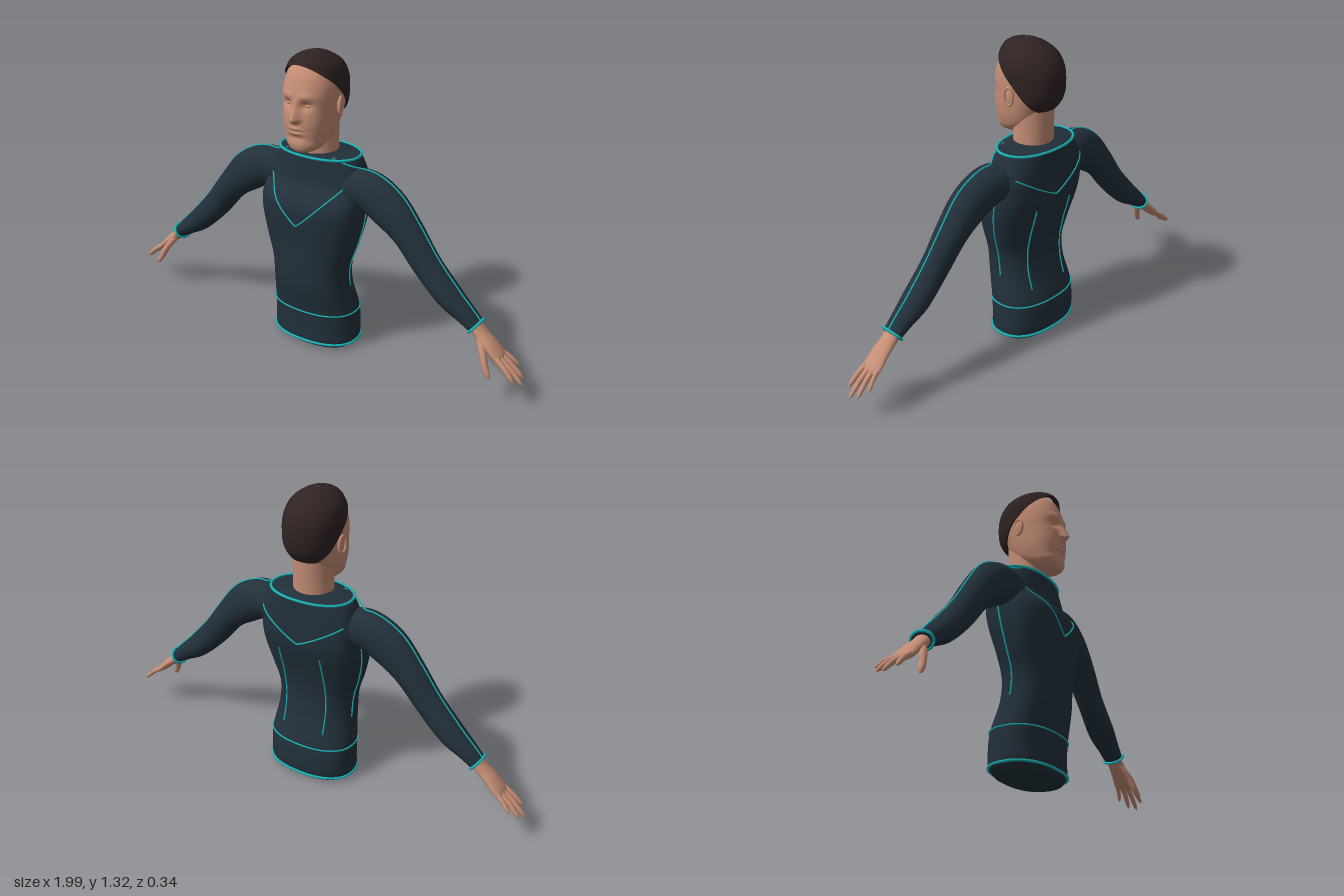
import * as THREE from 'three';

const V = (x, y, z) => new THREE.Vector3(x, y, z);
const mat = (name, color) => {
  const m = new THREE.MeshStandardMaterial({ color });
  m.name = name;
  return m;
};
const gauss = (d, s) => Math.exp(-(d * d) / (s * s));
const spow = (v, e) => Math.sign(v) * Math.pow(Math.abs(v), e);

// Smooth lookup in a table of cross-sections, keyed by the first column
function rowAt(rows, k) {
  let i = 0;
  while (i < rows.length - 2 && k > rows[i + 1][0]) i++;
  const slope = (j, c) => {
    const a = rows[Math.max(j - 1, 0)], b = rows[Math.min(j + 1, rows.length - 1)];
    return (b[c] - a[c]) / (b[0] - a[0]);
  };
  const p = rows[i], q = rows[i + 1], h = q[0] - p[0], t = (k - p[0]) / h;
  const t2 = t * t, t3 = t2 * t;
  return p.map((v, c) => c === 0 ? k :
    (2 * t3 - 3 * t2 + 1) * v + (t3 - 2 * t2 + t) * h * slope(i, c) +
    (3 * t2 - 2 * t3) * q[c] + (t3 - t2) * h * slope(i + 1, c));
}

// Skin a list of closed rings, with flat caps at both ends
function loft(rings, caps = true) {
  const n = rings[0].length;
  if (caps) {
    const flat = r => {
      const c = r.reduce((s, p) => s.add(p), V(0, 0, 0)).divideScalar(n);
      return r.map(() => c);
    };
    const a = rings[0], b = rings[rings.length - 1];
    rings = [flat(a), a, ...rings, b, flat(b)];
  }
  const pos = [], idx = [];
  rings.forEach(r => r.forEach(p => pos.push(p.x, p.y, p.z)));
  for (let i = 0; i < rings.length - 1; i++) for (let j = 0; j < n; j++) {
    const a = i * n + j, b = i * n + (j + 1) % n;
    idx.push(a, a + n, b, b, a + n, b + n);
  }
  const g = new THREE.BufferGeometry();
  g.setAttribute('position', new THREE.Float32BufferAttribute(pos, 3));
  g.setIndex(idx);
  g.computeVertexNormals();
  return g;
}

const steps = (a, b, n) => Array.from({ length: n + 1 }, (_, i) => a + (b - a) * i / n);
const angles = n => Array.from({ length: n }, (_, j) => j / n * Math.PI * 2);

// Point on an upright body whose rows are [y, half width, front z, back z, exponent]
function bodyPoint(rows, y, a, off = 0) {
  const [, w, f, b, e] = rowAt(rows, y);
  return V((w + off) * spow(Math.cos(a), e), y, (f + b) / 2 + ((f - b) / 2 + off) * spow(Math.sin(a), e));
}
const body = (rows, seg, n) =>
  steps(rows[0][0], rows[rows.length - 1][0], n).map(y => angles(seg).map(a => bodyPoint(rows, y, a)));

// Limb in the x-y plane whose rows are [x, y, thickness radius, z radius, z centre]
function limbPoint(rows, x, a, off = 0) {
  const [, y, rn, rz, cz] = rowAt(rows, x), d = 0.002;
  const lo = Math.max(x - d, rows[0][0]), hi = Math.min(x + d, rows[rows.length - 1][0]);
  const t = V(hi - lo, rowAt(rows, hi)[1] - rowAt(rows, lo)[1], 0).normalize();
  const c = Math.cos(a) * (rn + off);
  return V(x + t.y * c, y - t.x * c, cz + (rz + off) * Math.sin(a));
}
const limb = (rows, seg, n) =>
  loft(steps(rows[0][0], rows[rows.length - 1][0], n).map(x => angles(seg).map(a => limbPoint(rows, x, a))));

// Tapered finger with a rounded tip
function finger(points, r) {
  const curve = new THREE.CatmullRomCurve3(points);
  return loft(steps(0, 1, 14).map(t => {
    const p = curve.getPoint(t), T = curve.getTangent(t);
    const N = T.clone().cross(V(0, 0, 1)).normalize(), B = N.clone().cross(T);
    const s = r * (1 - 0.3 * t) * Math.sqrt(Math.max(0.02, 1 - Math.pow(t, 10)));
    return angles(10).map(a => p.clone().addScaledVector(N, s * Math.cos(a)).addScaledVector(B, s * Math.sin(a)));
  }));
}

const cord = (points, r = 0.004, closed = false) =>
  new THREE.TubeGeometry(new THREE.CatmullRomCurve3(points, closed), points.length * 3, r, 6, closed);

const TORSO = [
  [0, 0.178, 0.08, -0.14, 0.85], [0.025, 0.198, 0.1, -0.158, 0.85], [0.08, 0.2, 0.1, -0.163, 0.85],
  [0.17, 0.197, 0.105, -0.156, 0.85], [0.3, 0.18, 0.13, -0.118, 0.85], [0.4, 0.183, 0.135, -0.108, 0.85],
  [0.5, 0.212, 0.135, -0.12, 0.8], [0.6, 0.232, 0.142, -0.146, 0.75], [0.67, 0.235, 0.141, -0.162, 0.72],
  [0.71, 0.232, 0.122, -0.163, 0.7], [0.76, 0.226, 0.08, -0.161, 0.7], [0.82, 0.21, 0.07, -0.159, 0.75],
  [0.86, 0.195, 0.068, -0.158, 0.85], [0.88, 0.183, 0.068, -0.158, 0.9]];
const ARM = [
  [0.1, 0.785, 0.05, 0.06, -0.03], [0.18, 0.765, 0.075, 0.08, -0.025], [0.27, 0.755, 0.088, 0.077, -0.02],
  [0.36, 0.705, 0.088, 0.072, -0.016], [0.45, 0.622, 0.069, 0.066, -0.015], [0.54, 0.51, 0.062, 0.058, -0.013],
  [0.65, 0.398, 0.054, 0.06, -0.013], [0.72, 0.345, 0.042, 0.05, -0.013], [0.78, 0.298, 0.031, 0.043, -0.013]];
const PALM = [
  [0.765, 0.31, 0.026, 0.036, -0.013], [0.8, 0.276, 0.023, 0.037, -0.012], [0.84, 0.243, 0.021, 0.043, -0.011],
  [0.885, 0.2, 0.016, 0.047, -0.013], [0.9, 0.188, 0.008, 0.04, -0.014]];
const NECK = [[0.85, 0.088, 0.05, -0.115, 1], [0.95, 0.084, 0.05, -0.117, 1], [1.1, 0.085, 0.05, -0.125, 1]];
const HEAD = [
  [0.913, 0.035, 0.112, 0.04, 0.9], [0.922, 0.058, 0.124, 0, 0.9], [0.945, 0.08, 0.132, -0.03, 0.88],
  [0.97, 0.091, 0.132, -0.07, 0.86], [1, 0.1, 0.134, -0.09, 0.85], [1.04, 0.107, 0.138, -0.112, 0.85],
  [1.1, 0.113, 0.135, -0.142, 0.85], [1.15, 0.116, 0.134, -0.152, 0.85], [1.2, 0.113, 0.122, -0.146, 0.88],
  [1.25, 0.097, 0.1, -0.118, 0.95], [1.28, 0.07, 0.068, -0.085, 1], [1.298, 0.03, 0.03, -0.04, 1]];
const HAIR = [
  [1.02, 0.08, 0.1, -0.105, 0.9], [1.045, 0.098, 0.12, -0.135, 0.9], [1.09, 0.117, 0.13, -0.16, 0.9],
  [1.15, 0.122, 0.138, -0.167, 0.9], [1.21, 0.12, 0.13, -0.16, 0.92], [1.26, 0.105, 0.114, -0.132, 0.95],
  [1.285, 0.083, 0.102, -0.1, 1], [1.302, 0.055, 0.075, -0.066, 1], [1.311, 0.028, 0.04, -0.035, 1], [1.315, 0.004, 0.004, -0.004, 1]];
// Hairline height by direction, from back (-1) to front (1)
const HAIRLINE = [[-1, 1.04], [-0.8, 1.042], [-0.5, 1.075], [0.15, 1.183], [0.6, 1.235], [1, 1.275]];

export function createModel() {
  const suit = mat('dark suit', 0x22303a), trim = mat('teal trim', 0x18b4b8);
  const skin = mat('skin', 0xc48d75), hairMat = mat('dark hair', 0x2f2222);
  const model = new THREE.Group();
  const add = (name, geo, m, parent = model) => {
    const mesh = new THREE.Mesh(geo, m);
    mesh.name = name;
    parent.add(mesh);
    return mesh;
  };

  // Torso, closed at the top by a shallow rise to the neck
  const rings = body(TORSO, 64, 80);
  const rim = rings[rings.length - 1];
  rings.push(rim, angles(64).map(a => V(0.08 * Math.cos(a), 0.894, -0.034 + 0.078 * Math.sin(a))));
  add('torso', loft(rings), suit);

  // Trim around hem, waist and collar
  const band = (name, y, r) => add(name, cord(angles(48).map(a => bodyPoint(TORSO, y, a, 0.002)), r, true), trim);
  band('hemTrim', 0.025, 0.006);
  band('waistTrim', 0.17, 0.0035);
  band('collarTrim', 0.88, 0.006);

  // Chest and back seams lying on the torso
  const onTorso = (x, y, side) => {
    const [, w, , , e] = rowAt(TORSO, y);
    const a = Math.acos(spow(Math.max(-1, Math.min(1, x / w)), 1 / e));
    return bodyPoint(TORSO, y, side * a, 0.001);
  };
  const vee = (top, low, side) => cord(steps(-0.195, 0.195, 30).map(x =>
    onTorso(x, low + (top - low) * Math.pow(Math.abs(x) / 0.195, 1.15), side)), 0.0035);
  add('chestSeam', vee(0.79, 0.592, 1), trim);
  add('backSeam', vee(0.79, 0.68, -1), trim);

  // Head: face relief is pressed into a smooth skull
  add('neck', loft(body(NECK, 40, 12)), skin);
  const relief = p => {
    if (p.z < 0.02) return p;
    const { x, y } = p, ax = Math.abs(x);
    const rise = y > 1.06 ? Math.max(0, 1 - (y - 1.06) / 0.09) : Math.max(0, 1 - (1.06 - y) / 0.022);
    let dz = 0.036 * rise * gauss(x, 0.012 + 0.008 * rise);
    dz -= 0.016 * gauss(ax - 0.043, 0.024) * gauss(y - 1.118, 0.018);
    dz += 0.005 * gauss(ax - 0.04, 0.035) * gauss(y - 1.155, 0.014);
    dz += 0.007 * gauss(x, 0.028) * (gauss(y - 1.02, 0.008) + gauss(y - 1.0, 0.008));
    dz -= 0.004 * gauss(x, 0.03) * gauss(y - 1.01, 0.004);
    dz -= 0.006 * gauss(x, 0.04) * gauss(y - 0.98, 0.012);
    return V(x, y, p.z + dz);
  };
  add('head', loft(body(HEAD, 100, 90).map(r => r.map(relief))), skin);

  // Hair cap, cut along the hairline and tucked in below
  const hairRings = steps(0, 1, 28).map(t => angles(64).map(a => {
    const h = rowAt(HAIRLINE, Math.sin(a))[1];
    return bodyPoint(HAIR, h + (1.315 - h) * Math.sin(t * Math.PI / 2), a);
  }));
  const edge = hairRings[0];
  hairRings.unshift(edge.map(p => V(p.x * 0.8, p.y + 0.005, -0.02 + (p.z + 0.02) * 0.8)), edge);
  add('hair', loft(hairRings, false), hairMat);

  // Parts of one side, mirrored for the other
  for (const s of [1, -1]) {
    const side = new THREE.Group();
    side.name = s > 0 ? 'leftSide' : 'rightSide';
    side.scale.x = s;
    model.add(side);

    add('sleeve', limb(ARM, 32, 60), suit, side);
    add('cuffTrim', cord(angles(24).map(a => limbPoint(ARM, 0.775, a, 0.004)), 0.006, true), trim, side);
    const seam = [V(0.11, 0.885, 0.03), V(0.15, 0.872, 0.025), V(0.19, 0.86, 0.01)];
    steps(0.235, 0.775, 24).forEach(x => seam.push(limbPoint(ARM, x, Math.PI, 0.001)));
    add('sleeveSeam', cord(seam, 0.0035), trim, side);
    add('sideSeam', cord(steps(0.3, 0.68, 14).map(y => bodyPoint(TORSO, y, -0.1, 0.001)), 0.0035), trim, side);
    add('backPanelSeam', cord(steps(0.24, 0.63, 14).map(y => onTorso(0.1, y, -1)), 0.0035), trim, side);

    // Hand
    add('palm', limb(PALM, 24, 20), skin, side);
    const tips = [[0.97, 0.128, 0.034], [0.996, 0.106, -0.002], [0.984, 0.116, -0.037], [0.952, 0.146, -0.07]];
    tips.forEach(([x, y, z], i) => {
      const base = V(0.875, 0.207, 0.019 - 0.021 * i), tip = V(x, y, z);
      const mid = base.clone().lerp(tip, 0.5).add(V(0.004, 0.004, 0));
      add('finger', finger([base, mid, tip], i === 3 ? 0.011 : 0.013), skin, side);
    });
    add('thumb', finger([V(0.8, 0.27, 0.005), V(0.835, 0.215, 0.038), V(0.858, 0.165, 0.054), V(0.882, 0.128, 0.064)], 0.017), skin, side);

    // Ear with raised rim, and eye
    const ear = add('ear', new THREE.SphereGeometry(1, 20, 14), skin, side);
    ear.scale.set(0.009, 0.036, 0.021);
    ear.position.set(0.117, 1.1, -0.012);
    const earRim = add('earRim', new THREE.TorusGeometry(1, 0.2, 8, 28), skin, side);
    earRim.scale.set(0.02, 0.036, 0.03);
    earRim.rotation.set(0, Math.PI / 2 + 0.2, 0);
    earRim.position.set(0.121, 1.1, -0.012);
    const eye = add('eye', new THREE.SphereGeometry(1, 16, 12), skin, side);
    eye.scale.set(0.017, 0.008, 0.009);
    eye.position.copy(relief(V(0.043, 1.116, 0.122))).setZ(0.109);
  }
  return model;
}
